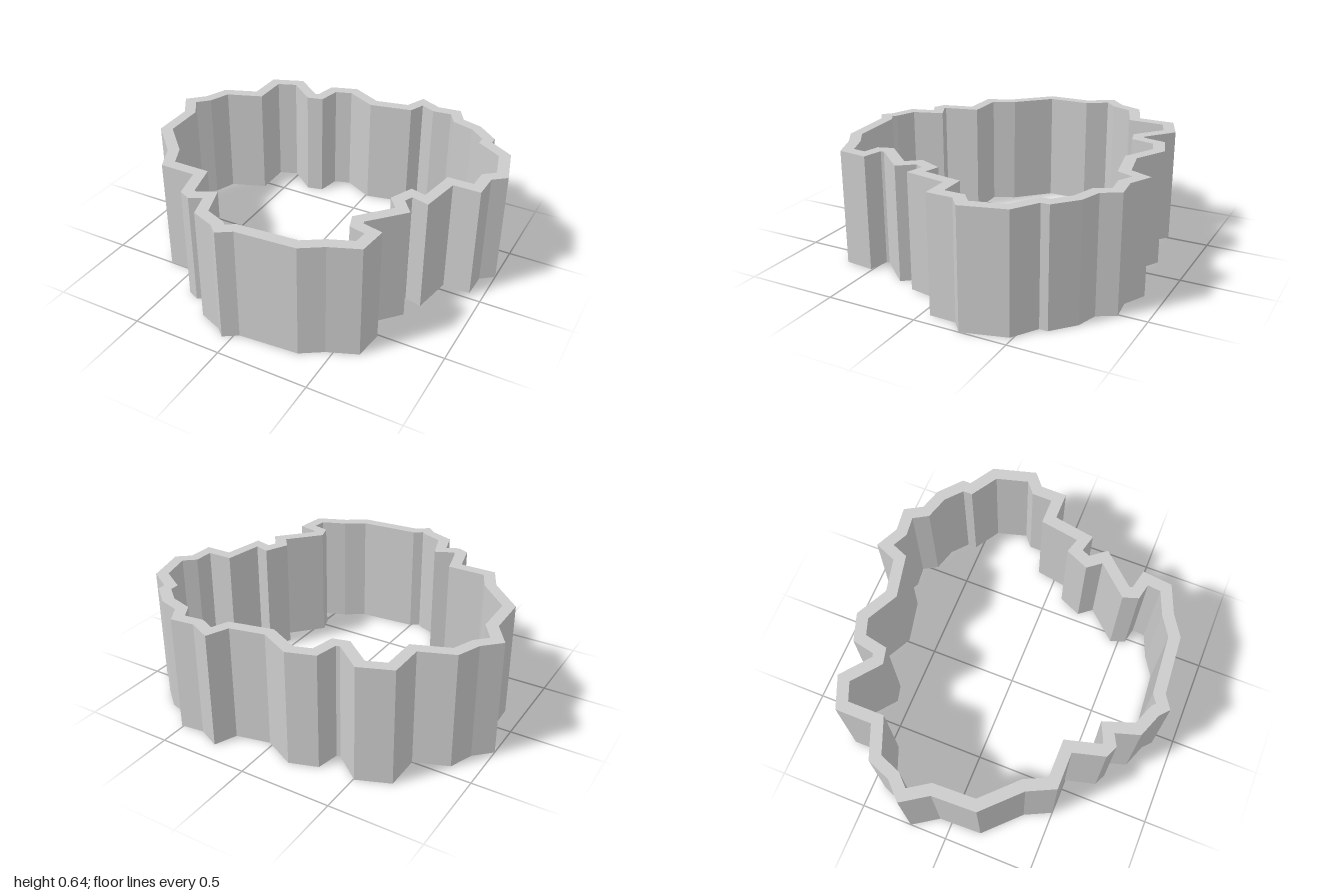
import * as THREE from 'three';

const HEIGHT = 0.637;
const WALL = 0.063;
const MAX_MITRE = 0.09;

// Outer outline seen from above as [x, z], starting at the left tip and running along the back
const OUTLINE = [
  [-1, -0.21], [-0.91, -0.30], [-0.86, -0.43], [-0.68, -0.50], [-0.68, -0.70], [-0.505, -0.77],
  [-0.35, -0.645], [-0.33, -0.65], [-0.305, -0.775], [-0.155, -0.825], [0.02, -0.735], [0.205, -0.775],
  [0.255, -0.895], [0.38, -0.835], [0.51, -0.85], [0.565, -0.755], [0.68, -0.72], [0.80, -0.615],
  [0.80, -0.57], [0.935, -0.485], [1, -0.25], [0.928, -0.19], [0.925, -0.045], [0.775, -0.045],
  [0.735, 0.185], [0.64, 0.16], [0.62, 0.205], [0.687, 0.29], [0.525, 0.47], [0.53, 0.485],
  [0.64, 0.51], [0.622, 0.675], [0.465, 0.74], [0.35, 0.815], [0.025, 0.84], [-0.05, 0.89],
  [-0.10, 0.845], [-0.23, 0.795], [-0.27, 0.665], [-0.335, 0.70], [-0.40, 0.67], [-0.445, 0.50],
  [-0.645, 0.50], [-0.715, 0.355], [-0.90, 0.17], [-0.908, -0.07],
];

// Moves every edge inward by the same distance; sharp mitres are shortened
function inset(points, distance) {
  const n = points.length;
  const normal = (a, b) => new THREE.Vector2(a.y - b.y, b.x - a.x).normalize();
  return points.map((p, i) => {
    const before = normal(points[(i + n - 1) % n], p);
    const after = normal(p, points[(i + 1) % n]);
    const scale = distance / (1 + before.dot(after));
    return before.add(after).multiplyScalar(scale).clampLength(0, MAX_MITRE).add(p);
  });
}

export function createModel() {
  const group = new THREE.Group();
  group.name = 'outlineRing';

  const outer = OUTLINE.map(([x, z]) => new THREE.Vector2(x, z));
  const inner = inset(outer, WALL);
  const flip = (points) => points.map((p) => new THREE.Vector2(p.x, -p.y));

  // Upright wall: the hole runs opposite to the outline so its faces look inward
  const shape = new THREE.Shape(flip(outer));
  shape.holes.push(new THREE.Path(flip(inner).reverse()));
  const geometry = new THREE.ExtrudeGeometry(shape, { depth: HEIGHT, bevelEnabled: false });
  geometry.rotateX(-Math.PI / 2);

  const wall = new THREE.Mesh(
    geometry,
    new THREE.MeshStandardMaterial({ color: 0xcccccc, flatShading: true })
  );
  wall.name = 'wall';
  group.add(wall);
  return group;
}
